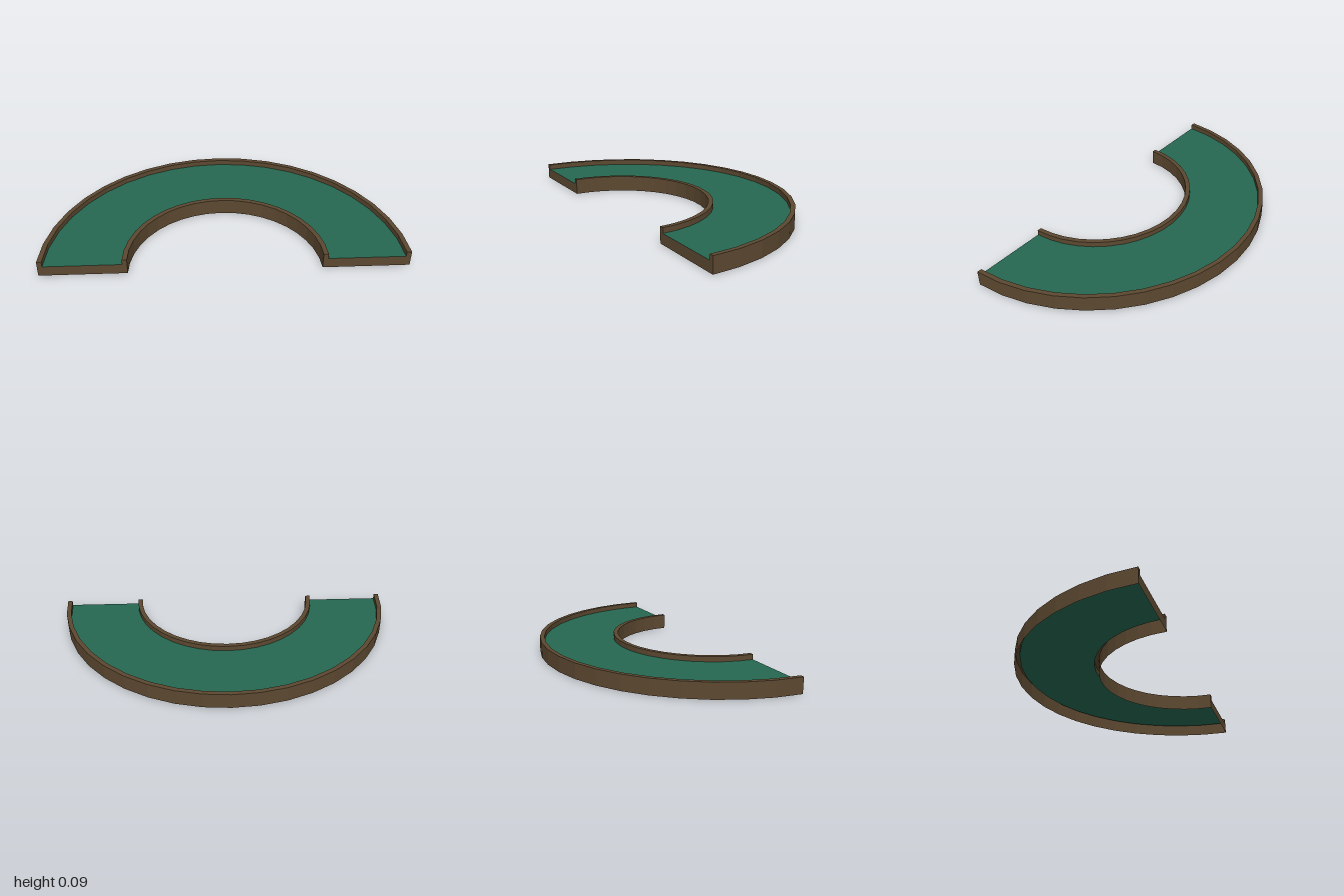
import * as THREE from 'three';

const OUTER = 1, INNER = 0.525, RAIL = 0.027;
const HEIGHT = 0.09, FLOOR = 0.06, CENTRE_Z = 0.5, SEGMENTS = 20;

export function createModel() {
  const wood = new THREE.MeshStandardMaterial({ color: 0x5c4830, flatShading: true, side: THREE.DoubleSide });
  wood.name = 'brownWood';
  const felt = new THREE.MeshStandardMaterial({ color: 0x256852, flatShading: true, side: THREE.DoubleSide });
  felt.name = 'greenFelt';

  const model = new THREE.Group();
  model.name = 'curvedTrack';

  const add = (name, geometry, material) => {
    const mesh = new THREE.Mesh(geometry, material);
    mesh.name = name;
    mesh.position.z = CENTRE_Z;
    model.add(mesh);
  };

  // Sweep a profile of [radius, height] points round the back half circle
  const sweep = (profile) => new THREE.LatheGeometry(
    profile.map(([r, y]) => new THREE.Vector2(r, y)), SEGMENTS, Math.PI / 2, Math.PI);

  // Walls with raised rails, open underneath
  const outer = [[OUTER, 0], [OUTER, HEIGHT], [OUTER - RAIL, HEIGHT], [OUTER - RAIL, FLOOR]];
  const inner = [[INNER + RAIL, FLOOR], [INNER + RAIL, HEIGHT], [INNER, HEIGHT], [INNER, 0]];
  add('outerRail', sweep(outer), wood);
  add('innerRail', sweep(inner), wood);

  // Felt playing surface between the rails
  add('floor', sweep([outer[3], inner[0]]), felt);

  // End plates follow the channel's cross-section
  for (const [name, side] of [['leftEnd', 1], ['rightEnd', -1]]) {
    const section = new THREE.Shape([...outer, ...inner].map(([r, y]) => new THREE.Vector2(side * r, y)));
    add(name, new THREE.ShapeGeometry(section), wood);
  }
  return model;
}
